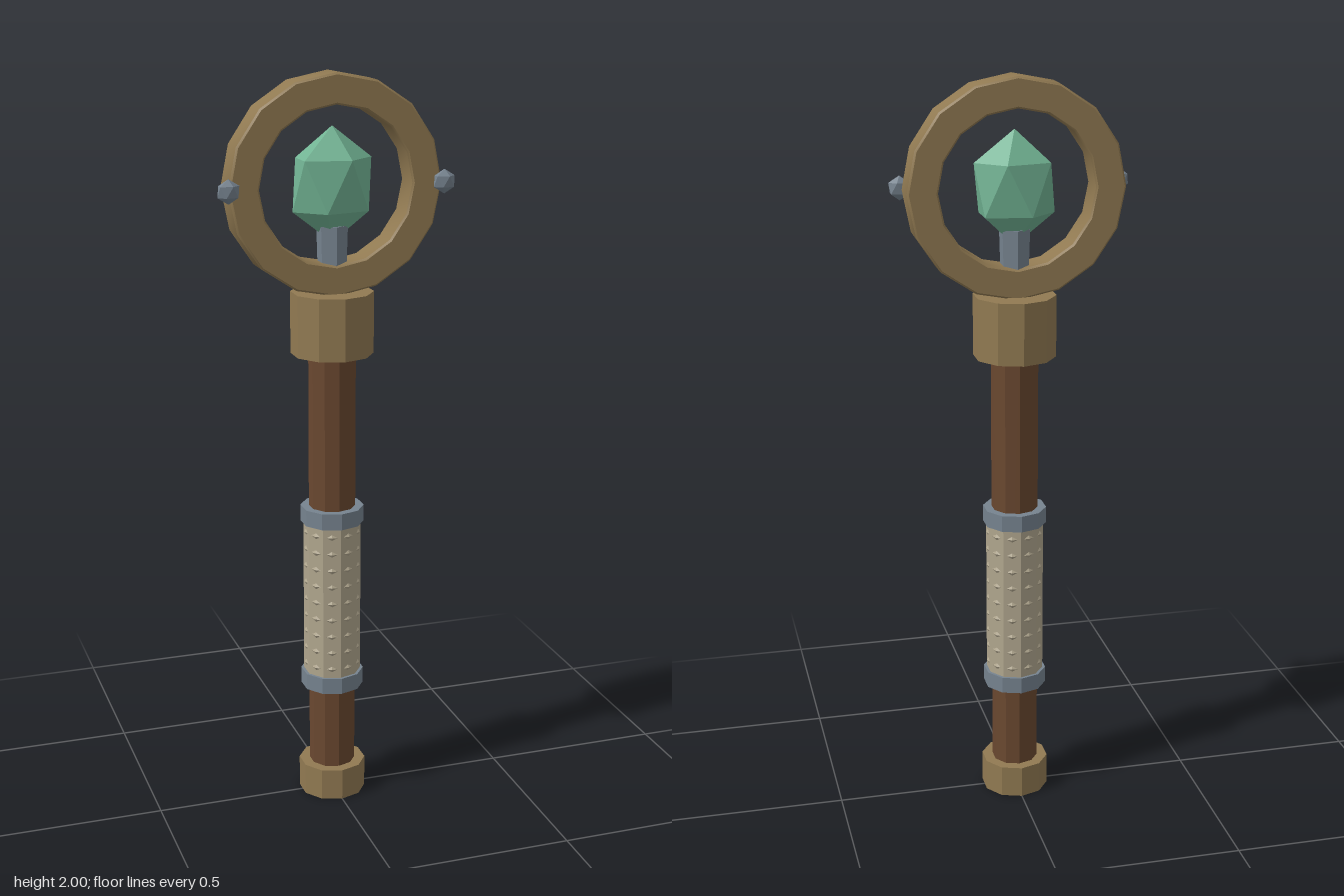
import * as THREE from 'three';
import { toCreasedNormals } from 'three/addons/utils/BufferGeometryUtils.js';

const material = (color) => new THREE.MeshStandardMaterial({ color, flatShading: true });

export function createModel() {
  const group = new THREE.Group();
  const bronze = material(0x917a52);
  const wood = material(0x6a4830);
  const wrap = material(0xb0a68e);
  const steel = material(0x76838f);
  const crystal = material(0x72b494);

  function add(name, geometry, mat, x = 0, y = 0, z = 0) {
    const mesh = new THREE.Mesh(geometry, mat);
    mesh.name = name;
    mesh.position.set(x, y, z);
    group.add(mesh);
    return mesh;
  }

  // Upright prism between two heights
  function prism(name, mat, y0, y1, r, sides = 10, rTop = r) {
    return add(name, new THREE.CylinderGeometry(rTop, r, y1 - y0, sides), mat, 0, (y0 + y1) / 2);
  }

  // Icosahedron standing on a vertex, stretched along the axes
  function facetedStone(rx, ry, rz) {
    return new THREE.IcosahedronGeometry(1, 0)
      .rotateX(-Math.atan((1 + Math.sqrt(5)) / 2))
      .rotateY(Math.PI / 2)
      .scale(rx, ry, rz);
  }

  // Handle
  prism('pommel', bronze, 0, 0.088, 0.092);
  prism('shaft', wood, 0.05, 1.3, 0.063);
  prism('lowerBand', steel, 0.32, 0.365, 0.086);
  prism('upperBand', steel, 0.8, 0.845, 0.086);
  prism('collar', bronze, 1.27, 1.436, 0.11);

  // Grip with wrapped cords
  prism('grip', wrap, 0.36, 0.805, 0.078);
  const cords = 9;
  for (let i = 0; i < cords; i++) {
    const cord = new THREE.TorusGeometry(0.066, 0.013, 6, 10).rotateX(Math.PI / 2);
    add('gripCord', cord, wrap, 0, 0.39 + (i * 0.385) / (cords - 1));
  }

  // Sixteen-sided head ring with narrow bevels
  const inner = 0.206, outer = 0.286, half = 0.043, b = 0.005;
  const profile = [
    [inner, -half + b], [inner + b, -half], [outer - b, -half], [outer, -half + b],
    [outer, half - b], [outer - b, half], [inner + b, half], [inner, half - b], [inner, -half + b],
  ].map(([r, y]) => new THREE.Vector2(r, y));
  const ring = new THREE.LatheGeometry(profile, 16).rotateX(Math.PI / 2);
  const smoothBronze = bronze.clone();
  smoothBronze.flatShading = false;
  add('headRing', toCreasedNormals(ring, 0.6), smoothBronze, 0, 1.715);

  // Crystal on its post
  prism('crystalPost', steel, 1.48, 1.61, 0.038, 6, 0.042);
  add('crystal', facetedStone(0.119, 0.15, 0.078), crystal, 0, 1.715);

  // Side studs
  for (const side of [-1, 1]) {
    add('ringStud', facetedStone(0.032, 0.032, 0.02), steel, side * 0.289, 1.717, 0.052);
  }

  return group;
}
